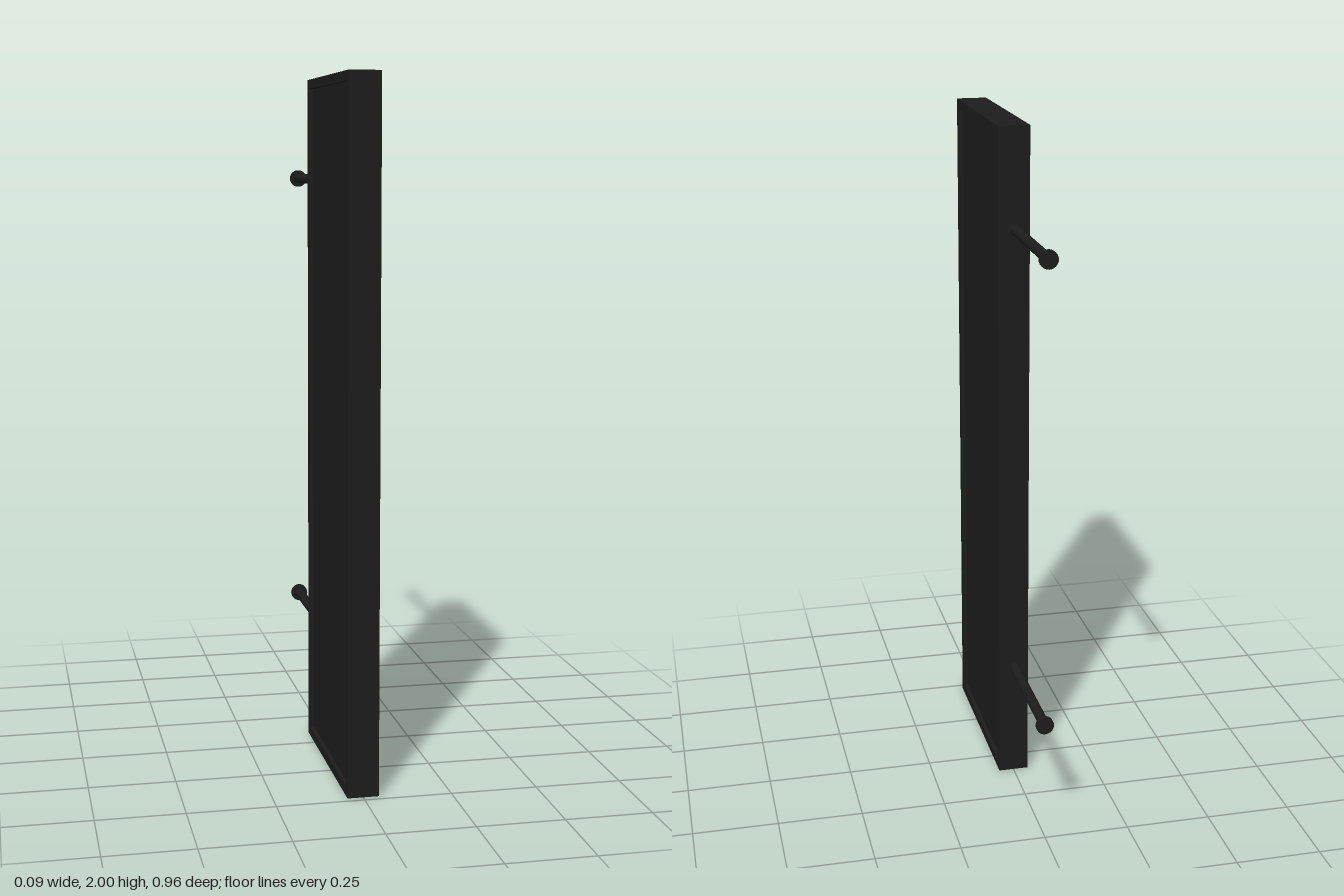
import * as THREE from 'three';

const dark = new THREE.MeshStandardMaterial({ color: 0x1c1c1c });

function add(parent, name, geometry, x, y, z) {
  const mesh = new THREE.Mesh(geometry, dark);
  mesh.name = name;
  mesh.position.set(x, y, z);
  parent.add(mesh);
  return mesh;
}

export function createModel() {
  const model = new THREE.Group();
  model.name = 'wallMountedSign';

  const height = 2, depth = 0.575, thick = 0.09, rim = 0.027, recess = 0.012;
  const backZ = -0.095, midZ = backZ + depth / 2;

  // Rectangular rim, extruded across the thickness
  const outline = new THREE.Shape([
    new THREE.Vector2(-depth / 2, 0), new THREE.Vector2(depth / 2, 0),
    new THREE.Vector2(depth / 2, height), new THREE.Vector2(-depth / 2, height),
  ]);
  outline.holes.push(new THREE.Path([
    new THREE.Vector2(-depth / 2 + rim, rim), new THREE.Vector2(-depth / 2 + rim, height - rim),
    new THREE.Vector2(depth / 2 - rim, height - rim), new THREE.Vector2(depth / 2 - rim, rim),
  ]));
  const frame = new THREE.ExtrudeGeometry(outline, { depth: thick, bevelEnabled: false });
  frame.translate(0, 0, -thick / 2).rotateY(Math.PI / 2);
  add(model, 'frame', frame, 0, 0, midZ);

  // Panel set back from the rim on both sides
  add(model, 'panel',
    new THREE.BoxGeometry(thick - 2 * recess, height - 2 * rim, depth - 2 * rim), 0, height / 2, midZ);

  // Two wall brackets: a round rod ending in a flat disc
  const endZ = -0.48, discThick = 0.012, rodX = -0.003;
  const rodLength = backZ - endZ - discThick / 2;
  [['upperBracket', 1.71], ['lowerBracket', 0.353]].forEach(([name, y]) => {
    const bracket = new THREE.Group();
    bracket.name = name;
    const rod = new THREE.CylinderGeometry(0.015, 0.015, rodLength, 20).rotateX(Math.PI / 2);
    const disc = new THREE.CylinderGeometry(0.026, 0.026, discThick, 24).rotateX(Math.PI / 2);
    add(bracket, 'rod', rod, rodX, y, backZ - rodLength / 2);
    add(bracket, 'wallDisc', disc, rodX, y, endZ + discThick / 2);
    model.add(bracket);
  });

  return model;
}
